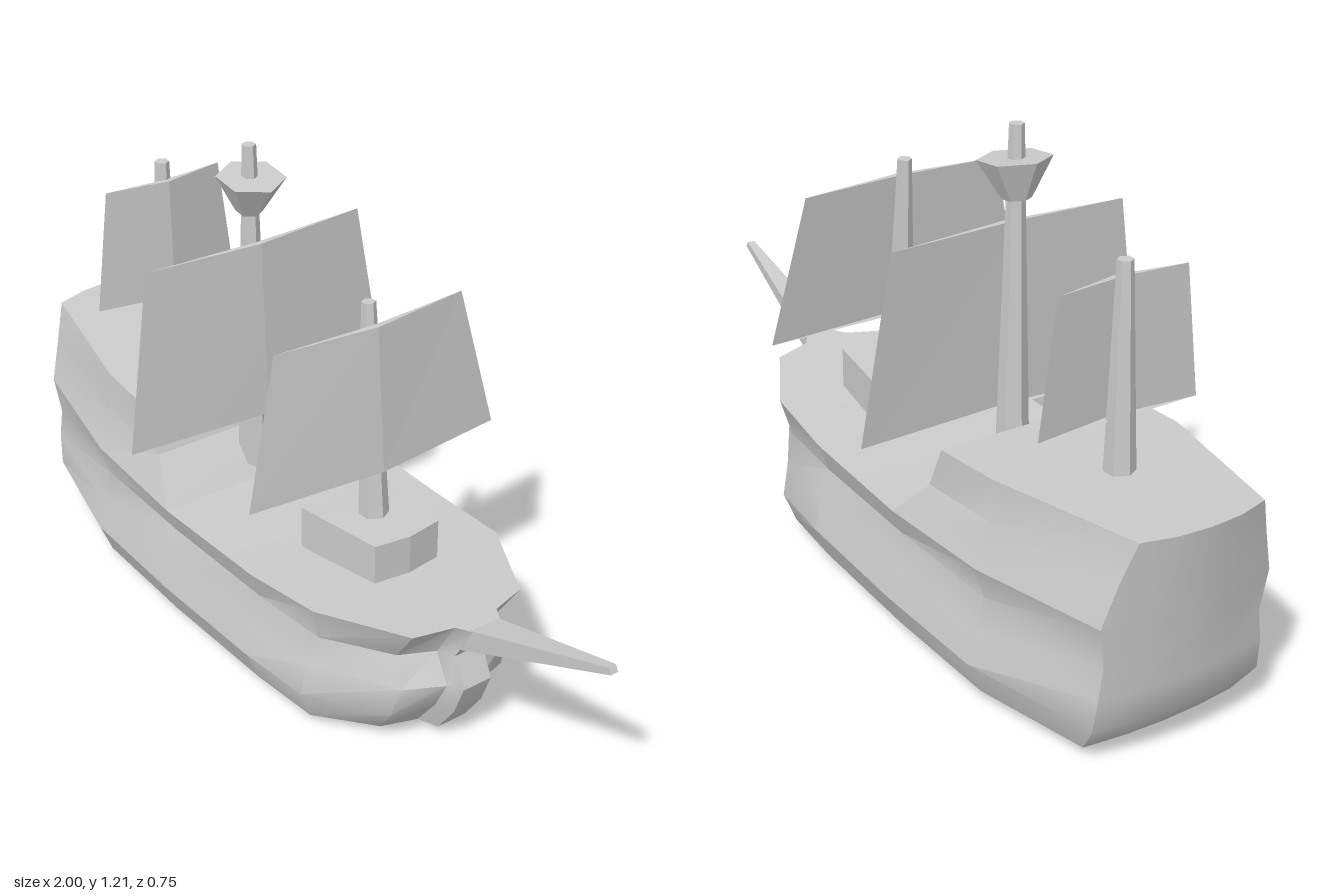
import * as THREE from 'three';
import { toCreasedNormals } from 'three/addons/utils/BufferGeometryUtils.js';

const material = new THREE.MeshStandardMaterial({ color: 0xcccccc });
const V = (x, y, z) => new THREE.Vector3(x, y, z);

// Skin over closed rings, counter-clockwise seen from the last ring, with both ends capped.
function loft(rings, crease) {
  const pos = [];
  const tri = (a, b, c) => {
    const area = b.clone().sub(a).cross(c.clone().sub(a)).length();
    if (area > 1e-7) for (const p of [a, b, c]) pos.push(p.x, p.y, p.z);
  };
  const quad = (a, b, c, d) => { tri(a, b, c); tri(a, c, d); };
  const n = rings[0].length;
  for (let r = 0; r < rings.length - 1; r++) {
    const lo = rings[r], hi = rings[r + 1];
    for (let i = 0; i < n; i++) {
      const j = (i + 1) % n;
      quad(lo[i], lo[j], hi[j], hi[i]);
    }
  }
  const first = rings[0], last = rings[rings.length - 1];
  for (let i = 0; i < n / 2 - 1; i++) {
    quad(last[i], last[i + 1], last[n - 2 - i], last[n - 1 - i]);
    quad(first[n - 1 - i], first[n - 2 - i], first[i + 1], first[i]);
  }
  const geo = new THREE.BufferGeometry();
  geo.setAttribute('position', new THREE.Float32BufferAttribute(pos, 3));
  return toCreasedNormals(geo, crease);
}

// Close a half outline (stern to bow, z >= 0) with its mirror image.
const mirrorRing = half => [...half, ...half.map(p => V(p.x, p.y, -p.z)).reverse()];

export function createModel() {
  const ship = new THREE.Group();
  ship.name = 'sailingShip';
  const add = (name, geometry) => {
    const mesh = new THREE.Mesh(geometry, material);
    mesh.name = name;
    ship.add(mesh);
    return mesh;
  };

  // Hull levels: y, stern centre x, stern corner x, corner z, width, shoulder x, bow x, stem side x, stem x
  const levels = [
    [0.03, -0.88, -0.865, 0.20, 0.89, 0.29, 0.42, 0.45, 0.50],
    [0.11, -0.945, -0.92, 0.22, 1.0, 0.295, 0.48, 0.51, 0.555],
    [0.19, -0.955, -0.93, 0.215, 0.94, 0.30, 0.50, 0.55, 0.585],
    [0.265, -0.96, -0.93, 0.205, 0.865, 0.31, 0.47, 0.51, 0.55],
    [0.35, -0.975, -0.935, 0.22, 0.945, 0.325, 0.54, 0.57, 0.605],
  ];
  const sheer = [0.37, 0.37, 0.365, 0.345, 0.33, 0.335, 0.355, 0.36, 0.365, 0.365];
  const halves = levels.map(([y, sx, cx, cz, w, shx, bx, ssx, stx], k) => [
    [sx, 0], [sx * 0.75 + cx * 0.25, cz * 0.5], [cx, cz], [-0.58, 0.302 * w], [-0.25, 0.31 * w],
    [0.1, 0.302 * w], [shx, 0.285 * w], [bx, 0.165 * w], [ssx, 0.06], [stx, 0.04],
  ].map(([x, z], i) => V(x, k === 4 ? sheer[i] : y, z)));
  const keel = halves[0].map(p => V(-0.26 + (p.x + 0.26) * 0.56, 0, p.z * 0.58));
  add('hull', loft([keel, ...halves].map(mirrorRing), 0.6));

  // Raised stern deck with a sloping front
  const poopBase = halves[4].slice(0, 5);
  const poopMid = [V(-0.985, 0.47, 0), V(-0.976, 0.47, 0.095), V(-0.95, 0.47, 0.19),
    V(-0.58, 0.45, 0.252), V(-0.345, 0.43, 0.252)];
  const poopTop = [V(-1, 0.568, 0), V(-0.993, 0.567, 0.08), V(-0.97, 0.565, 0.16),
    V(-0.58, 0.55, 0.245), V(-0.39, 0.535, 0.25)];
  add('sternDeck', loft([poopBase, poopMid, poopTop].map(mirrorRing), 0.3));

  // Bowsprit: tapered beam rising from the stem
  const beam = (x0, y0, x1, y1, w) => [V(x0, y0, -w), V(x1, y1, -w), V(x1, y1, w), V(x0, y0, w)];
  add('bowsprit', loft([beam(0.5, 0.262, 0.55, 0.35, 0.04), beam(0.55, 0.285, 0.605, 0.367, 0.04),
    beam(1, 0.48, 0.992, 0.495, 0.01)], 0.2));

  // Fore deck cabin
  const cabin = (y0, y1) => mirrorRing([V(0.073, y0, 0.12), V(0.32, y1, 0.092), V(0.333, y1, 0)]);
  add('cabin', loft([cabin(0.32, 0.34), cabin(0.443, 0.455)], 0.1));

  // Tapered six-sided masts, each leaning from foot to head
  const mast = (name, foot, head, r0, r1) => {
    const dir = head.clone().sub(foot);
    const geo = new THREE.CylinderGeometry(r1, r0, dir.length(), 6).rotateY(Math.PI / 2);
    const mesh = add(name, toCreasedNormals(geo, 0.3));
    mesh.position.copy(foot).lerp(head, 0.5);
    mesh.quaternion.setFromUnitVectors(V(0, 1, 0), dir.normalize());
  };
  mast('mizzenMast', V(-0.695, 0.52, 0), V(-0.685, 1.03, 0), 0.037, 0.018);
  mast('mainMast', V(-0.298, 0.31, 0), V(-0.295, 1.205, 0), 0.042, 0.017);
  mast('foreMast', V(0.197, 0.42, 0), V(0.165, 0.987, 0), 0.037, 0.017);

  // Lookout basket
  const nest = add('lookoutBasket',
    toCreasedNormals(new THREE.CylinderGeometry(0.084, 0.033, 0.09, 6).rotateY(Math.PI / 2), 0.3));
  nest.position.set(-0.294, 1.081, 0);
  nest.rotation.z = -0.12;

  // Sails: thin slabs bowed forward, pointed at the side edges; x is the side edge
  const sail = (name, bottom, top) => {
    const ring = ([x, y, w, bow]) =>
      [V(x + bow - 0.015, y, 0), V(x, y, w), V(x + bow, y, 0), V(x, y, -w)];
    add(name, loft([ring(bottom), ring(top)], 0.02));
  };
  sail('mizzenSail', [-0.685, 0.67, 0.205, 0.037], [-0.685, 0.985, 0.165, 0.03]);
  sail('mainSail', [-0.262, 0.515, 0.376, 0.03], [-0.278, 0.968, 0.304, 0.028]);
  sail('foreSail', [0.197, 0.577, 0.35, 0.034], [0.172, 0.938, 0.262, 0.03]);

  return ship;
}
